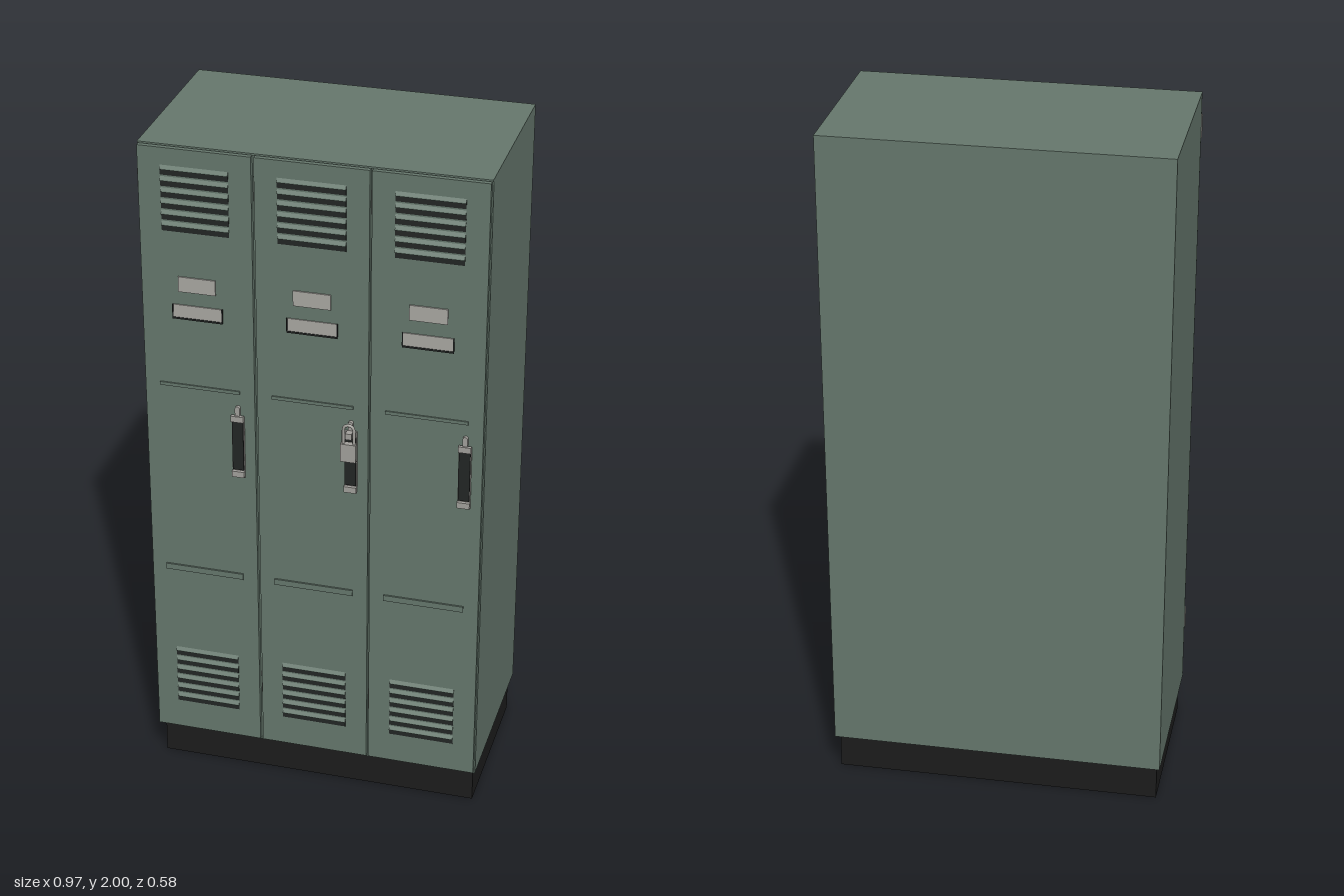
import * as THREE from 'three';

const paint = (name, color) => {
  const m = new THREE.MeshStandardMaterial({ color });
  m.name = name;
  return m;
};

export function createModel() {
  const green = paint('greenPaint', 0x66786d);
  const black = paint('blackBase', 0x1c1c1c);
  const dark = paint('darkRecess', 0x232625);
  const steel = paint('steel', 0xa3a19c);
  const card = paint('labelPlate', 0xaaa8a3);

  const mesh = (parent, name, geometry, material, x = 0, y = 0, z = 0) => {
    const m = new THREE.Mesh(geometry, material);
    m.name = name;
    m.position.set(x, y, z);
    parent.add(m);
    return m;
  };
  // Box given by centre x, y range and z range
  const box = (parent, name, mat, x, w, y0, y1, z0, z1) =>
    mesh(parent, name, new THREE.BoxGeometry(w, y1 - y0, z1 - z0), mat, x, (y0 + y1) / 2, (z0 + z1) / 2);

  const model = new THREE.Group();
  model.name = 'lockerBank';

  box(model, 'plinth', black, 0, 0.948, 0, 0.112, -0.267, 0.218);
  box(model, 'cabinet', green, 0, 0.97, 0.112, 2, -0.29, 0.237);
  box(model, 'topLip', green, 0, 0.97, 1.995, 2, 0.237, 0.243);
  box(model, 'bottomLip', green, 0, 0.97, 0.112, 0.117, 0.237, 0.243);

  const face = 0.252;

  // Sloping louvre hood: wedge cross-section (z, y) swept along x
  const wedge = new THREE.Shape([[0, 0.012], [0, 0], [0.006, 0], [0.006, 0.003]]
    .map(([z, y]) => new THREE.Vector2(z, y)));
  const hoodGeometry = new THREE.ExtrudeGeometry(wedge, { depth: 0.19, bevelEnabled: false });
  hoodGeometry.translate(0, 0, -0.095);
  hoodGeometry.rotateY(-Math.PI / 2);
  hoodGeometry.scale(1, 1, 1);

  const addVent = (door, topY) => {
    const vent = new THREE.Group();
    vent.name = 'vent';
    door.add(vent);
    for (let i = 0; i < 6; i++) {
      const y = topY - i * 0.0326;
      box(vent, 'ventSlot', dark, 0, 0.19, y - 0.01, y + 0.009, face, face + 0.0015);
      mesh(vent, 'ventHood', hoodGeometry, green, 0, y + 0.006, face)
        .rotation.y = 0;
    }
  };

  const addHandle = (door) => {
    const handle = new THREE.Group();
    handle.name = 'handle';
    handle.position.x = 0.11;
    door.add(handle);
    // Recessed dark pull inside a thin steel surround
    box(handle, 'handlePlate', steel, 0, 0.036, 1.016, 1.21, face, 0.257);
    box(handle, 'handlePull', dark, 0, 0.032, 1.042, 1.195, 0.257, 0.262);
    for (const y of [1.02, 1.196])
      box(handle, 'handleEnd', steel, 0, 0.036, y, y + 0.018, 0.257, 0.267);
    // Latch tab with a rounded top
    box(handle, 'latchTab', steel, 0, 0.014, 1.21, 1.236, face, 0.262);
    const cap = mesh(handle, 'latchTabTop', new THREE.CylinderGeometry(0.007, 0.007, 0.01, 12), steel, 0, 1.236, 0.257);
    cap.rotation.x = Math.PI / 2;
  };

  const addPadlock = (door) => {
    const lock = new THREE.Group();
    lock.name = 'padlock';
    lock.position.set(0.11, 0, 0.279);
    door.add(lock);
    box(lock, 'padlockBody', steel, 0, 0.044, 1.13, 1.185, -0.009, 0.009);
    const arch = new THREE.CurvePath();
    const v = (x, y) => new THREE.Vector3(x, y, 0);
    arch.add(new THREE.LineCurve3(v(-0.015, 1.18), v(-0.015, 1.226)));
    arch.add(new THREE.CubicBezierCurve3(v(-0.015, 1.226), v(-0.015, 1.246), v(0.015, 1.246), v(0.015, 1.226)));
    arch.add(new THREE.LineCurve3(v(0.015, 1.226), v(0.015, 1.18)));
    mesh(lock, 'padlockShackle', new THREE.TubeGeometry(arch, 32, 0.0045, 8), steel);
    box(lock, 'lockHasp', steel, 0, 0.018, 1.198, 1.216, -0.02, 0.004);
  };

  // Three identical doors
  [-0.325, 0, 0.323].forEach((x, i) => {
    const door = new THREE.Group();
    door.name = 'door';
    door.position.x = x;
    model.add(door);
    box(door, 'doorPanel', green, 0, 0.317, 0.119, 1.993, 0.237, face);
    addVent(door, 1.925);
    addVent(door, 0.386);

    box(door, 'numberPlate', card, 0, 0.106, 1.574, 1.619, face, 0.256);
    box(door, 'cardHolder', card, 0, 0.138, 1.496, 1.534, face, 0.255);
    box(door, 'cardHolderRim', dark, 0, 0.143, 1.491, 1.496, face, 0.257);
    for (const s of [-1, 1])
      box(door, 'cardHolderRim', dark, s * 0.0705, 0.003, 1.496, 1.534, face, 0.257);

    // Pressed stiffening ribs
    box(door, 'upperRib', green, 0, 0.232, 1.278, 1.288, face, 0.256);
    box(door, 'lowerRib', green, 0, 0.232, 0.674, 0.692, face, 0.257);

    // Hinge barrels along the door's outer edge
    for (const y of [1.9, 0.32])
      mesh(door, 'hinge', new THREE.CylinderGeometry(0.003, 0.003, 0.07, 8), steel, -0.1595, y, 0.243);

    addHandle(door);
    if (i === 1) addPadlock(door);
  });

  return model;
}
